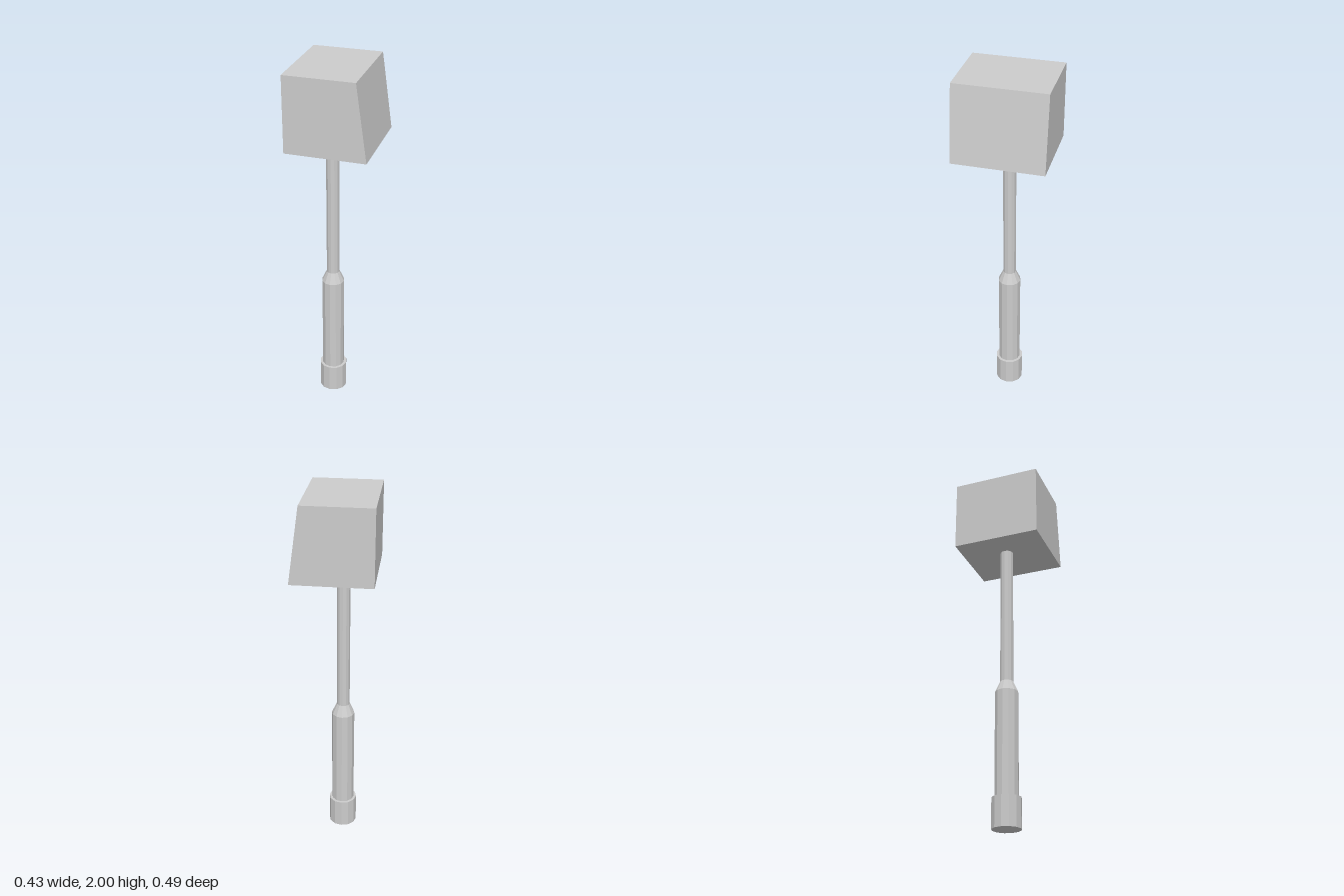
import * as THREE from 'three';

const SIDES = 12;
const POLE_X = -0.035;

export function createModel() {
  const model = new THREE.Group();
  const material = new THREE.MeshStandardMaterial({ color: 0xcccccc, flatShading: true });

  const add = (name, geometry, x, y) => {
    const mesh = new THREE.Mesh(geometry, material);
    mesh.name = name;
    mesh.position.set(x, y, 0);
    model.add(mesh);
  };

  // Faceted pole segment standing between two heights
  const segment = (name, bottomY, topY, bottomR, topR = bottomR) => add(
    name,
    new THREE.CylinderGeometry(topR, bottomR, topY - bottomY, SIDES),
    POLE_X,
    (bottomY + topY) / 2
  );

  // Handle, from the end cap up to the thin shaft
  segment('endCap', 0, 0.162, 0.078);
  segment('grip', 0.162, 0.735, 0.063);
  segment('gripTaper', 0.735, 0.795, 0.063, 0.036);
  segment('shaft', 0.795, 1.595, 0.036);

  // Block head with one sloping face on the left
  const profile = new THREE.Shape([
    new THREE.Vector2(-0.215, 0),
    new THREE.Vector2(0.215, 0),
    new THREE.Vector2(0.158, 0.407),
    new THREE.Vector2(-0.215, 0.407),
  ]);
  const head = new THREE.ExtrudeGeometry(profile, { depth: 0.487, bevelEnabled: false });
  head.translate(0, 0, -0.2435);
  add('head', head, 0, 1.593);

  return model;
}
